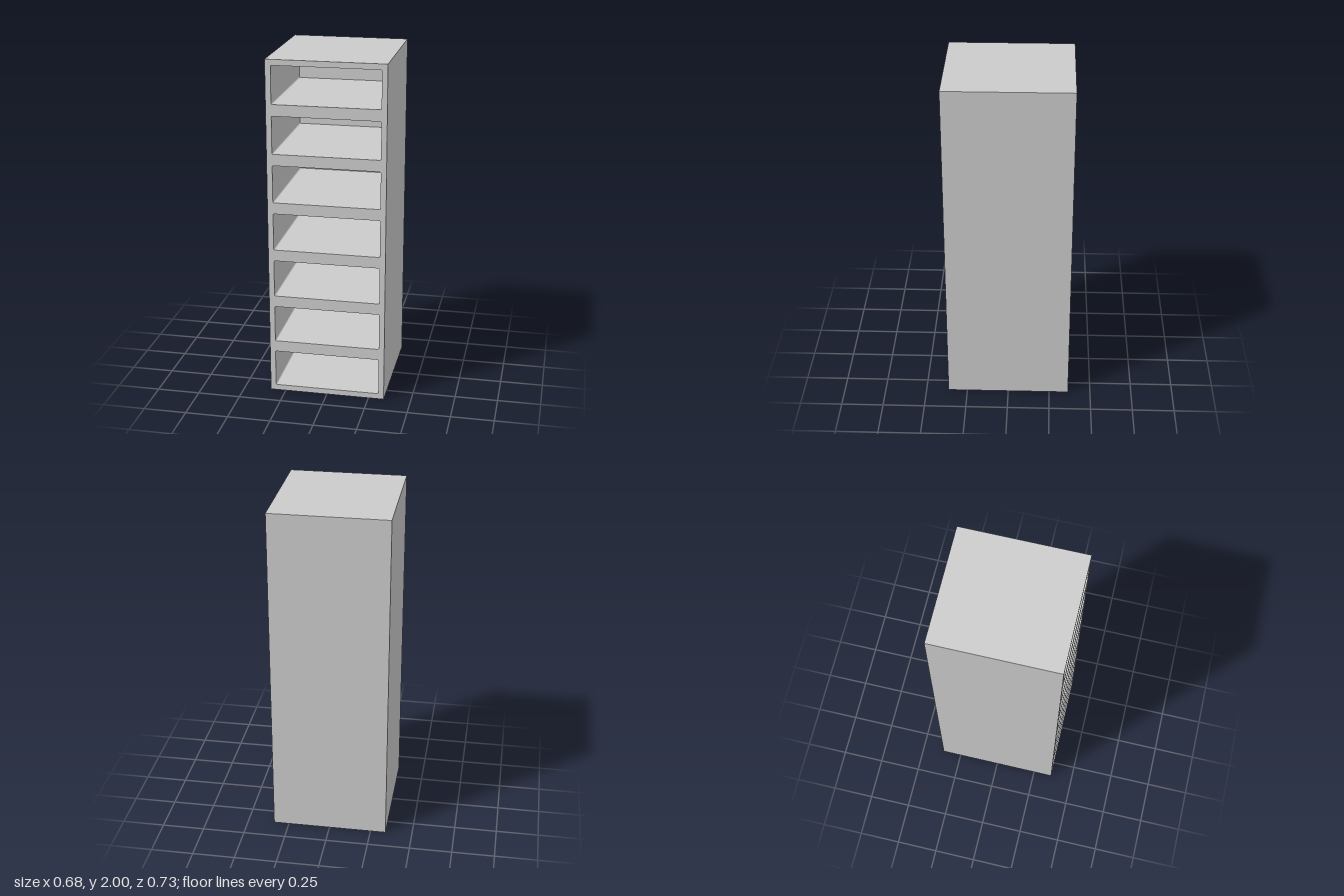
import * as THREE from 'three';

const WIDTH = 0.682, HEIGHT = 2, DEPTH = 0.73;
const BAYS = 7, PITCH = HEIGHT / BAYS;
const OPEN_W = 0.618, OPEN_H = 0.219, RADIUS = 0.008;
const BACK = 0.033;

// Rectangle with slightly rounded corners, centred on (0, cy)
function roundedOpening(cy) {
  const x = OPEN_W / 2 - RADIUS, y = OPEN_H / 2 - RADIUS;
  const path = new THREE.Path();
  path.absarc(x, cy + y, RADIUS, 0, Math.PI / 2);
  path.absarc(-x, cy + y, RADIUS, Math.PI / 2, Math.PI);
  path.absarc(-x, cy - y, RADIUS, Math.PI, Math.PI * 1.5);
  path.absarc(x, cy - y, RADIUS, Math.PI * 1.5, Math.PI * 2);
  path.closePath();
  return path;
}

export function createModel() {
  const group = new THREE.Group();
  group.name = 'openCabinet';
  const material = new THREE.MeshStandardMaterial({ color: 0xcccccc });

  // Outer walls and shelves: one slab pierced by a column of equal bays
  const outline = new THREE.Shape([
    new THREE.Vector2(-WIDTH / 2, 0),
    new THREE.Vector2(WIDTH / 2, 0),
    new THREE.Vector2(WIDTH / 2, HEIGHT),
    new THREE.Vector2(-WIDTH / 2, HEIGHT),
  ]);
  for (let i = 0; i < BAYS; i++) outline.holes.push(roundedOpening((i + 0.5) * PITCH));
  const frame = new THREE.Mesh(
    new THREE.ExtrudeGeometry(outline, { depth: DEPTH - BACK, bevelEnabled: false, curveSegments: 4 }),
    material
  );
  frame.name = 'shelfFrame';
  frame.position.z = -DEPTH / 2 + BACK;
  group.add(frame);

  // Closed back
  const back = new THREE.Mesh(new THREE.BoxGeometry(WIDTH, HEIGHT, BACK), material);
  back.name = 'backPanel';
  back.position.set(0, HEIGHT / 2, -DEPTH / 2 + BACK / 2);
  group.add(back);

  return group;
}
